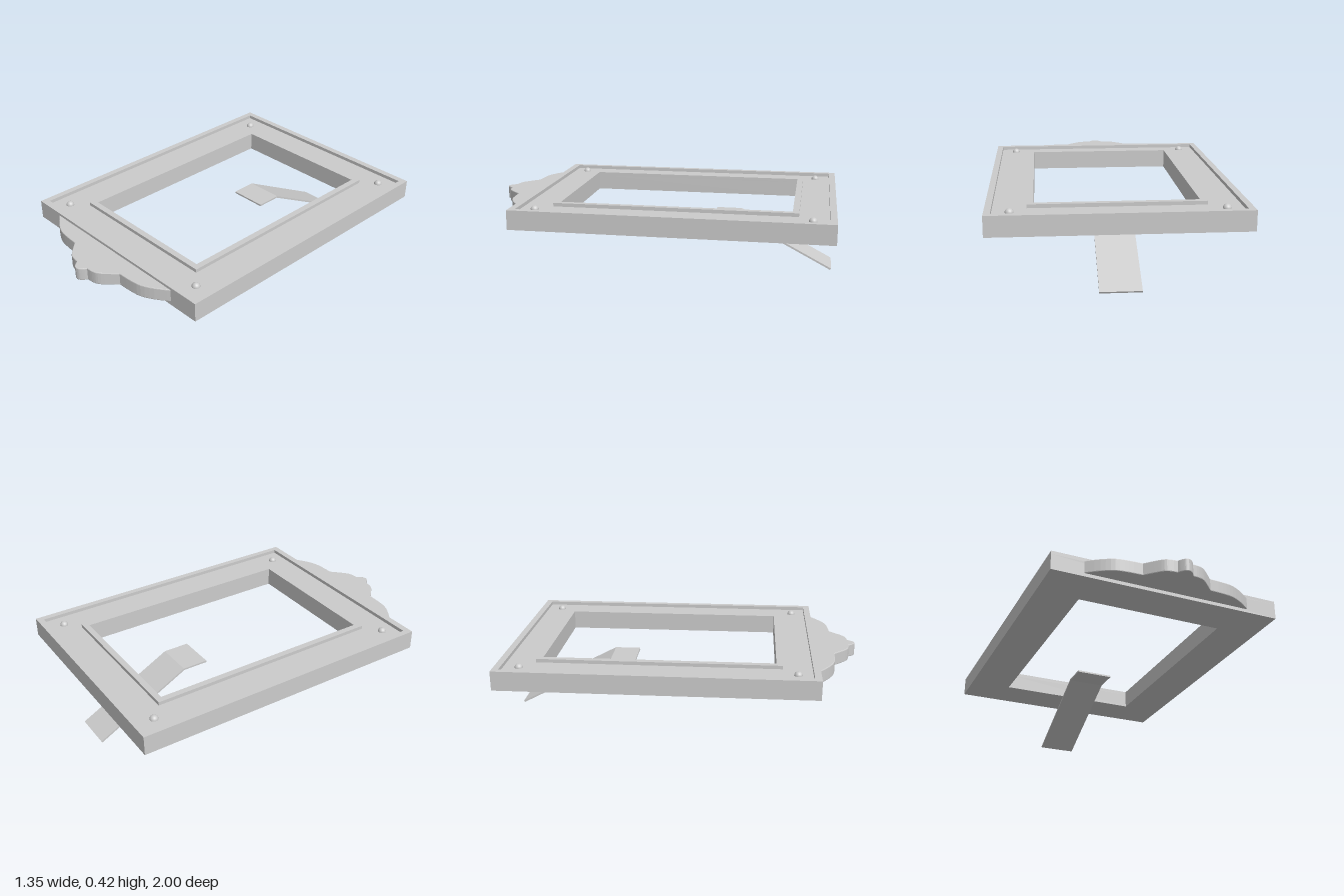
import * as THREE from 'three';

const material = new THREE.MeshStandardMaterial({ color: 0xcccccc });

// Rectangle in plan: x half-width, back z, front z
function rect(Type, halfW, back, front) {
  const path = new Type();
  path.moveTo(-halfW, back);
  path.lineTo(halfW, back);
  path.lineTo(halfW, front);
  path.lineTo(-halfW, front);
  path.closePath();
  return path;
}

// Extrude a plan (x, z) shape downwards from the height top
function slab(shape, top, depth, options = {}) {
  const geo = new THREE.ExtrudeGeometry(shape, { depth, bevelEnabled: false, ...options });
  geo.rotateX(Math.PI / 2);
  geo.translate(0, top, 0);
  return geo;
}

function ring(outer, inner, top, depth) {
  const shape = rect(THREE.Shape, ...outer);
  shape.holes.push(rect(THREE.Path, ...inner));
  return slab(shape, top, depth);
}

export function createModel() {
  const model = new THREE.Group();
  model.name = 'pictureFrame';
  const add = (name, geo) => {
    const mesh = new THREE.Mesh(geo, material);
    mesh.name = name;
    model.add(mesh);
    return mesh;
  };

  const outer = [0.675, -1, 0.765];
  const recessOuter = [0.64, -0.963, 0.727];
  const recessInner = [0.465, -0.8, 0.565];
  const opening = [0.43, -0.765, 0.53];
  const top = 0.42, floor = 0.4, bottom = 0.31;

  // Frame body with raised rims around a shallow channel
  add('frameBody', ring(outer, opening, floor, floor - bottom));
  add('outerRim', ring(outer, recessOuter, top, top - floor));
  add('innerRim', ring(recessInner, opening, top, top - floor));

  // Domed studs in the corners of the channel
  for (const x of [-0.55, 0.55]) {
    for (const z of [-0.875, 0.645]) {
      const dome = new THREE.SphereGeometry(0.023, 20, 8, 0, Math.PI * 2, 0, Math.PI / 2);
      add('stud', dome).position.set(x, floor, z);
    }
  }

  // Scalloped crest: one half drawn as three lobes, then mirrored
  const lobes = [
    [[0.49, 0.765], [0.42, 0.815], [0.35, 0.85], [0.28, 0.861], [0.2, 0.865]],
    [[0.2, 0.865], [0.155, 0.91], [0.115, 0.945], [0.08, 0.957], [0.045, 0.96]],
    [[0.045, 0.96], [0.035, 0.976], [0.018, 0.994], [0, 1]],
  ];
  const half = lobes.flatMap((pts, i) => {
    const curve = new THREE.SplineCurve(pts.map(p => new THREE.Vector2(...p)));
    return curve.getPoints(12).slice(i ? 1 : 0);
  });
  const mirrored = half.slice(0, -1).reverse().map(p => new THREE.Vector2(-p.x, p.y));
  const crestShape = new THREE.Shape([
    new THREE.Vector2(0.49, 0.75), ...half, ...mirrored, new THREE.Vector2(-0.49, 0.75),
  ]);
  add('crest', slab(crestShape, 0.4, 0.065, {
    bevelEnabled: true, bevelThickness: 0.005, bevelSize: 0.004, bevelOffset: -0.004, bevelSegments: 2,
  }));

  // Bent strut: side profile in (-z, y), extruded across its width
  const profile = new THREE.Shape([
    [0.295, 0.285], [0.442, 0.285], [0.985, 0], [0.99, 0.009], [0.445, 0.295], [0.295, 0.295],
  ].map(p => new THREE.Vector2(...p)));
  const strut = new THREE.ExtrudeGeometry(profile, { depth: 0.22, bevelEnabled: false });
  strut.rotateY(Math.PI / 2);
  strut.translate(-0.11, 0, 0);
  add('strut', strut);

  return model;
}
